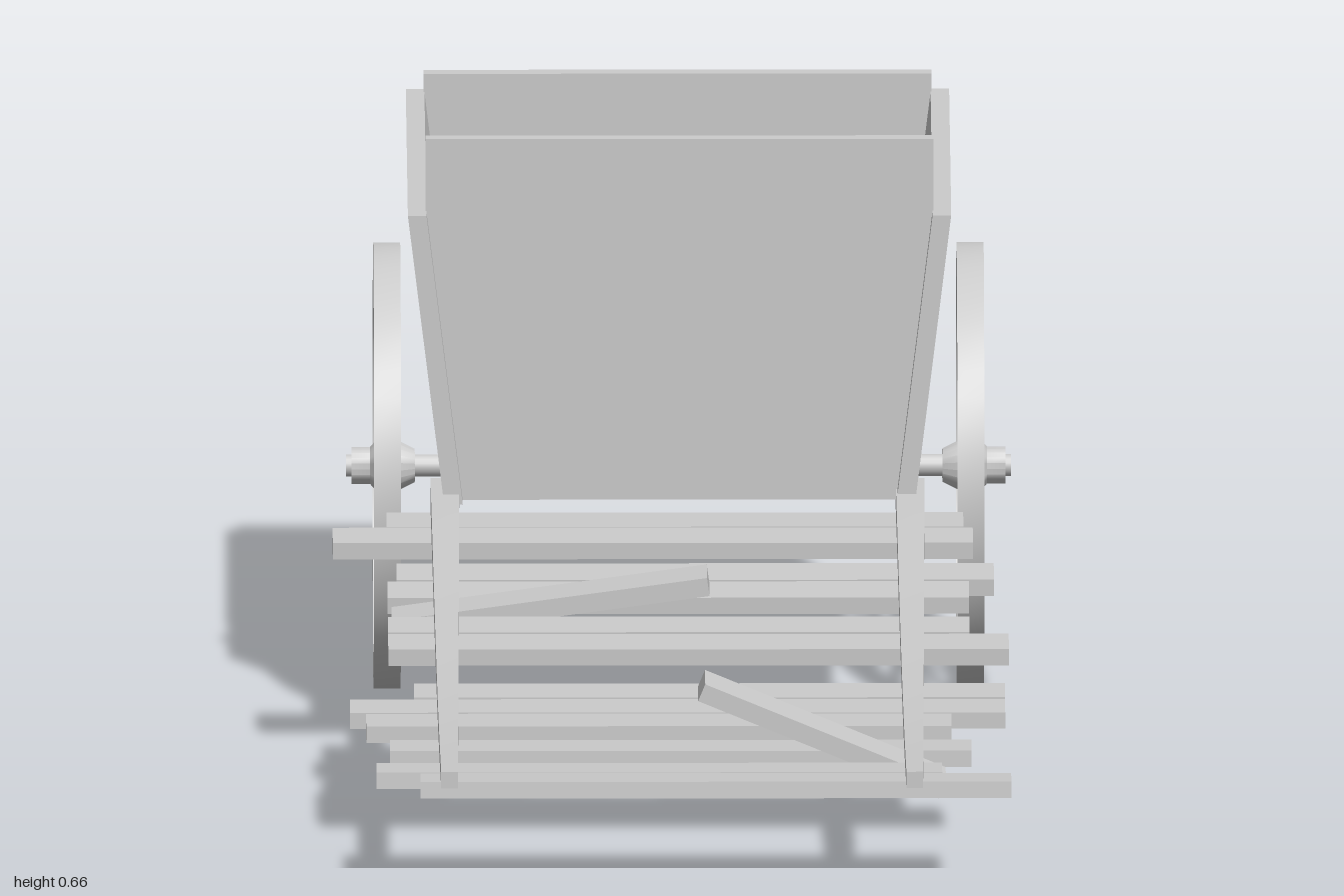
import * as THREE from 'three';
import { toCreasedNormals } from 'three/addons/utils/BufferGeometryUtils.js';

const material = new THREE.MeshStandardMaterial({ color: 0xcccccc });

function add(parent, name, geometry, x = 0, y = 0, z = 0) {
  const mesh = new THREE.Mesh(geometry, material);
  mesh.name = name;
  mesh.position.set(x, y, z);
  parent.add(mesh);
  return mesh;
}

// Flat board: an outline in x and y, given a thickness along z
function board(points, depth) {
  const shape = new THREE.Shape(points.map(([x, y]) => new THREE.Vector2(x, y)));
  return new THREE.ExtrudeGeometry(shape, { depth, bevelEnabled: false });
}

// Gentle sag of the two long shafts
const sag = new THREE.CatmullRomCurve3([
  [-0.44, 0.264], [-0.3, 0.262], [0, 0.249], [0.3, 0.241], [0.55, 0.241], [0.8, 0.251], [1, 0.266],
].map(([z, y]) => new THREE.Vector3(0, y, z)));
const sagPoints = sag.getPoints(120);
function shaftY(z) {
  const i = Math.max(1, sagPoints.findIndex((p) => p.z >= z));
  const a = sagPoints[i - 1], b = sagPoints[i];
  return THREE.MathUtils.mapLinear(z, a.z, b.z, a.y, b.y);
}
const shaftHalf = (z) => THREE.MathUtils.mapLinear(z, -0.44, 1, 0.0155, 0.009);

function shaftGeometry() {
  const geometry = new THREE.BoxGeometry(2, 2, 1.44, 1, 1, 12);
  geometry.translate(0, 0, 0.28);
  const p = geometry.attributes.position;
  for (let i = 0; i < p.count; i++) {
    const z = p.getZ(i), h = shaftHalf(z);
    p.setXYZ(i, p.getX(i) * h, shaftY(Math.min(z, 0.9999)) + p.getY(i) * h, z);
  }
  return toCreasedNormals(geometry, 0.5);
}

function makeWheel(side) {
  const wheel = new THREE.Group();
  wheel.name = side > 0 ? 'leftWheel' : 'rightWheel';
  // Rim with a rectangular section
  const section = [[0.212, -0.0145], [0.24, -0.0145], [0.24, 0.0145], [0.212, 0.0145], [0.212, -0.0145]];
  const rim = new THREE.LatheGeometry(section.map(([r, y]) => new THREE.Vector2(r, y)), 48);
  add(wheel, 'rim', toCreasedNormals(rim, 0.6)).rotation.z = Math.PI / 2;
  // Turned hub, outer end along the wheel's own side
  const hubProfile = [[0, -0.03], [0.018, -0.03], [0.027, -0.012], [0.027, 0.012], [0.02, 0.018], [0.02, 0.038], [0, 0.038]];
  const hub = new THREE.LatheGeometry(hubProfile.map(([r, y]) => new THREE.Vector2(r, y)), 20);
  add(wheel, 'hub', toCreasedNormals(hub, 0.5)).rotation.z = -side * Math.PI / 2;
  // Twelve spokes
  const spoke = new THREE.CylinderGeometry(0.006, 0.008, 0.2, 8);
  spoke.translate(0, 0.117, 0);
  for (let i = 0; i < 12; i++) add(wheel, 'spoke', spoke).rotation.x = (i * Math.PI) / 6;
  return wheel;
}

export function createModel() {
  const model = new THREE.Group();
  model.name = 'handcart';

  // Cart body with flared sides
  const body = new THREE.Group();
  body.name = 'cartBody';
  body.position.x = 0.005;
  model.add(body);
  for (const s of [-1, 1]) {
    const outline = [[s * 0.233, 0.267], [s * 0.253, 0.267], [s * 0.292, 0.585], [s * 0.272, 0.585]];
    add(body, s > 0 ? 'leftSide' : 'rightSide', board(outline, 0.63), 0, 0, -0.995);
  }
  const panel = (top) => [[-0.236, 0.267], [0.236, 0.267], [0.273, 0.585], [0.273, top], [-0.273, top], [-0.273, 0.585]];
  add(body, 'frontPanel', board(panel(0.664), 0.018), 0, 0, -0.407);
  add(body, 'backPanel', board(panel(0.605), 0.02), 0, 0, -1);
  add(body, 'floor', new THREE.BoxGeometry(0.48, 0.018, 0.6), 0, 0.276, -0.69);

  // Wheels and axle
  for (const s of [-1, 1]) {
    const wheel = makeWheel(s);
    wheel.position.set(0.005 + s * 0.3135, 0.24, -0.682);
    model.add(wheel);
  }
  const axle = new THREE.CylinderGeometry(0.012, 0.012, 0.715, 16);
  add(model, 'axle', axle, 0.005, 0.24, -0.682).rotation.z = Math.PI / 2;
  for (const s of [-1, 1]) {
    add(model, 'axleBracket', new THREE.BoxGeometry(0.03, 0.04, 0.03), 0.005 + s * 0.22, 0.252, -0.682);
  }

  // Long shafts
  for (const s of [-1, 1]) {
    add(model, s > 0 ? 'leftShaft' : 'rightShaft', shaftGeometry(), 0.003 + s * 0.25);
  }

  // Cross planks under the shafts: right end, left end, middle z
  const planks = [
    [-0.31, 0.31, -0.375], [-0.368, 0.32, -0.302], [-0.3, 0.342, -0.148], [-0.31, 0.315, -0.073],
    [-0.31, 0.315, 0.078], [-0.31, 0.357, 0.155], [-0.283, 0.352, 0.384], [-0.352, 0.352, 0.462],
    [-0.335, 0.294, 0.537], [-0.31, 0.315, 0.688], [-0.325, 0.283, 0.837], [-0.278, 0.357, 0.914],
  ];
  for (const [x0, x1, z] of planks) {
    const y = shaftY(z) - shaftHalf(z) - 0.009;
    const plank = add(model, 'plank', new THREE.BoxGeometry(x1 - x0, 0.018, 0.068), (x0 + x1) / 2, y, z);
    plank.rotation.x = -Math.atan((shaftY(z + 0.03) - shaftY(z - 0.03)) / 0.06);
  }

  // Two broken planks, hanging loose
  add(model, 'brokenPlank', new THREE.BoxGeometry(0.342, 0.02, 0.068), -0.135, 0.242, 0.004).rotation.z = 0.137;
  add(model, 'brokenPlank', new THREE.BoxGeometry(0.28, 0.02, 0.072), 0.154, 0.264, 0.763).rotation.z = -0.393;
  return model;
}
